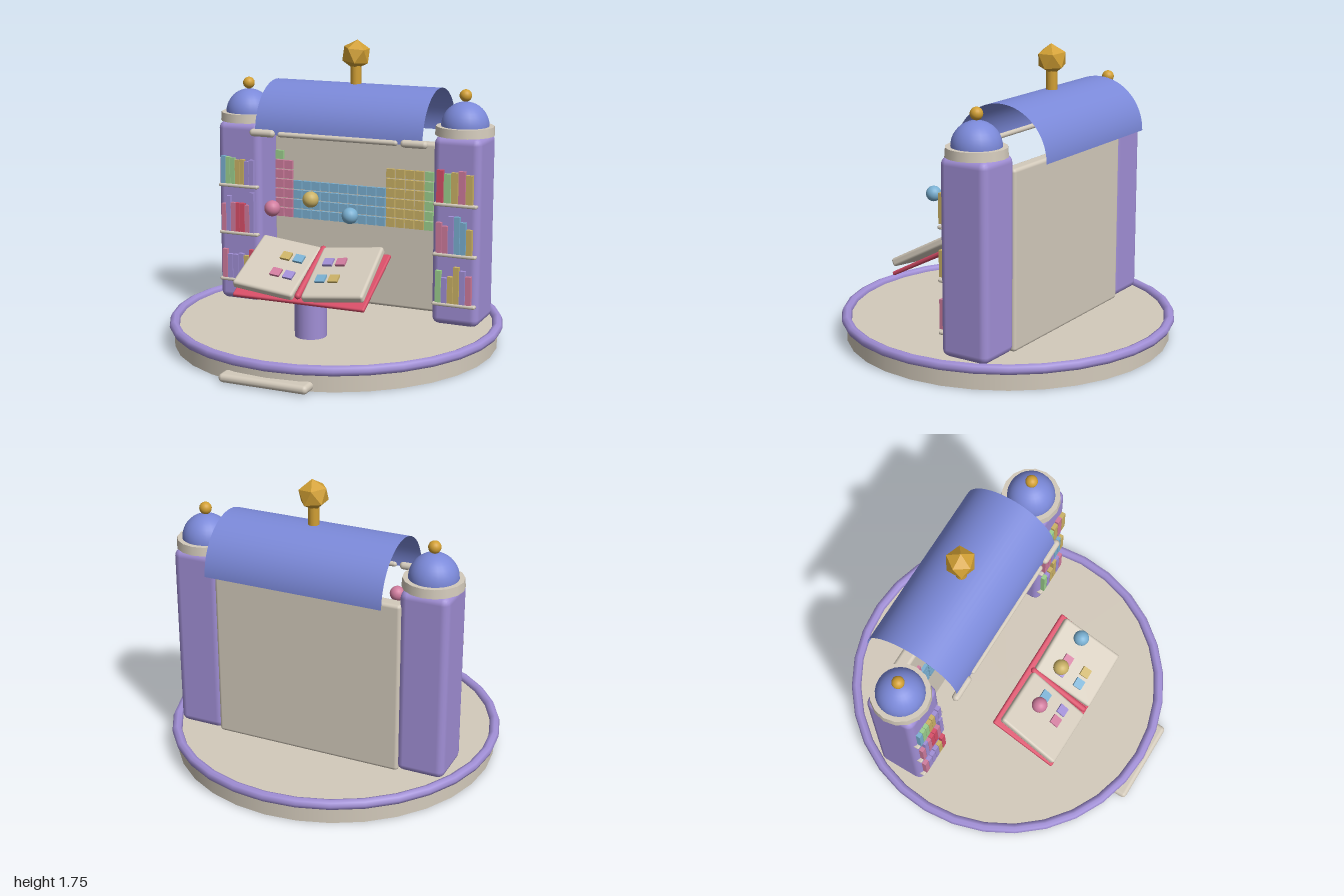
import * as THREE from 'three';
import { RoundedBoxGeometry } from 'three/addons/geometries/RoundedBoxGeometry.js';

const mat = (name, color, extra = {}) => {
  const m = new THREE.MeshStandardMaterial({ color, ...extra });
  m.name = name;
  return m;
};

export function createModel() {
  const root = new THREE.Group();
  root.name = 'libraryStage';
  const M = {
    lavender: mat('lavender', 0xa18fd6),
    roof: mat('roofBlue', 0x7b89d9, { side: THREE.DoubleSide }),
    stone: mat('stone', 0xd3cabb),
    gold: mat('gold', 0xd2a034),
    yellow: mat('yellow', 0xcbb266),
    blue: mat('skyBlue', 0x7ab0d2),
    pink: mat('pink', 0xd07c9e),
    green: mat('green', 0x9dd08e),
    red: mat('red', 0xd84e68),
  };
  const code = { l: M.lavender, y: M.yellow, b: M.blue, p: M.pink, g: M.green, r: M.red };

  const add = (name, geo, material, x = 0, y = 0, z = 0, parent = root) => {
    const m = new THREE.Mesh(geo, material);
    m.name = name;
    m.position.set(x, y, z);
    parent.add(m);
    return m;
  };
  const group = (name, parent = root) => {
    const g = new THREE.Group();
    g.name = name;
    parent.add(g);
    return g;
  };
  const box = (w, h, d) => new THREE.BoxGeometry(w, h, d);
  const rbox = (w, h, d, r) => new RoundedBoxGeometry(w, h, d, 2, r);
  const ball = (r) => new THREE.SphereGeometry(r, 20, 14);
  const rod = (r, length) => new THREE.CapsuleGeometry(r, length - 2 * r, 4, 12).rotateZ(Math.PI / 2);

  // Round base with rim and front step
  add('base', new THREE.CylinderGeometry(0.96, 0.96, 0.12, 32), M.stone, 0, 0.06, -0.01);
  add('baseRim', new THREE.TorusGeometry(0.96, 0.03, 8, 32).rotateX(Math.PI / 2), M.lavender, 0, 0.12, -0.01);
  add('frontStep', rbox(0.53, 0.05, 0.16, 0.024), M.stone, 0, 0.03, 0.92);

  // Back wall
  add('backWall', rbox(1.14, 1.035, 0.085, 0.02), M.stone, 0, 0.637, -0.39);

  // Wall tiles: colour and count of each column
  const tiles = group('wallTiles');
  const columns = 'ppbbbbbbbbbbyyyygl';
  const rows = { p: 6, b: 4, y: 6, g: 6, l: 7 };
  const tileGeo = box(0.053, 0.053, 0.024);
  const tile = (i, j, c) =>
    add('wallTile', tileGeo, code[c], (i - 8.5) * 0.0615, 0.655 + j * 0.0605, -0.34, tiles);
  [...columns].forEach((c, i) => {
    for (let j = 0; j < rows[c]; j++) tile(i, j, c);
  });
  tile(0, 6, 'g');

  // Book rows from bottom to top: colours and heights in hundredths
  const shelves = {
    '-1': [
      ['plllyr', [18, 15, 15, 16, 15, 19]],
      ['plprrpl', [17, 22, 18, 18, 18, 17, 25]],
      ['bggyyll', [17, 16.5, 16, 15, 15.5, 14.5, 15.5]],
    ],
    '1': [
      ['glyylp', [19, 15, 16, 22, 20, 17]],
      ['pplbby', [18, 16, 22, 22, 19, 15]],
      ['rgypy', [19, 17, 18, 19, 17]],
    ],
  };

  // Twin towers with domes, finials and bookshelves
  for (const side of [-1, 1]) {
    const t = group(side < 0 ? 'rightTower' : 'leftTower');
    t.position.set(side * 0.698, 0, -0.273);
    add('towerBody', rbox(0.288, 1.12, 0.305, 0.045), M.lavender, 0, 0.68, 0, t);
    add('towerCollar', new THREE.CylinderGeometry(0.17, 0.174, 0.052, 16), M.stone, 0, 1.261, 0, t);
    add('dome', new THREE.SphereGeometry(0.14, 24, 10, 0, Math.PI * 2, 0, Math.PI / 2), M.roof, 0, 1.287, 0, t);
    add('domeFinial', ball(0.036), M.gold, 0, 1.463, 0, t);
    shelves[side].forEach(([colours, heights], k) => {
      const y = 0.25 + k * 0.298;
      add('shelf', rbox(0.265, 0.022, 0.05, 0.01), M.stone, 0, y, 0.145, t);
      const pitch = 0.222 / colours.length;
      [...colours].forEach((c, i) => {
        const h = heights[i] / 100;
        const x = (i - (colours.length - 1) / 2) * pitch;
        add('shelfBook', box(pitch * 0.9, h, 0.04), code[c], x, y + 0.014 + h / 2, 0.157, t);
      });
    });
  }

  // Barrel roof, open at both ends
  const roofGeo = new THREE.CylinderGeometry(0.295, 0.295, 1.06, 32, 1, true, 0, Math.PI).rotateZ(Math.PI / 2);
  add('barrelRoof', roofGeo, M.roof, 0, 1.197, -0.31);

  // Rail along the front edge of the roof
  add('roofRail', rod(0.016, 0.76), M.stone, 0, 1.203, -0.014);
  for (const s of [-1, 1]) add('railHandle', rod(0.023, 0.165), M.stone, s * 0.481, 1.204, -0.014);

  // Roof finial
  add('finialStem', new THREE.CylinderGeometry(0.032, 0.032, 0.13, 12), M.gold, 0, 1.54, -0.305);
  const gem = new THREE.IcosahedronGeometry(0.09, 0);
  add('finialGem', gem, M.gold, 0, 1.663, -0.305).rotation.z = 0.45;

  // Reading stand
  add('standPost', new THREE.CylinderGeometry(0.093, 0.093, 0.26, 20), M.lavender, 0, 0.25, 0.355);
  const capProfile = [[0, -0.027], [0.1, -0.027], [0.112, -0.016], [0.116, 0], [0.112, 0.016], [0.1, 0.027], [0, 0.027]];
  const capGeo = new THREE.LatheGeometry(capProfile.map(([x, y]) => new THREE.Vector2(x, y)), 24);
  add('standCap', capGeo, M.stone, 0, 0.388, 0.355);

  // Open book, tilted to the front
  const tilt = 0.49;
  const book = group('openBook');
  add('bookCover', rbox(0.81, 0.024, 0.465, 0.01), M.red, 0, 0.468, 0.337, book).rotation.x = tilt;
  const spine = new THREE.CapsuleGeometry(0.019, 0.4, 4, 12).rotateX(Math.PI / 2);
  add('bookSpine', spine, M.red, 0, 0.493, 0.352, book).rotation.x = tilt;
  const pageTiles = { '-1': ['yb', 'pl'], '1': ['lp', 'by'] };
  for (const s of [-1, 1]) {
    const page = group(s < 0 ? 'rightPages' : 'leftPages', book);
    page.position.set(s * 0.204, 0.503, 0.36);
    page.rotation.set(tilt, 0, s * 0.11, 'ZYX');
    add('pageBlock', rbox(0.375, 0.05, 0.425, 0.016), M.stone, 0, 0, 0, page);
    pageTiles[s].forEach((row, j) => [...row].forEach((c, i) => {
      const x = -s * 0.066 + (i - 0.5) * 0.08;
      add('pageTile', box(0.058, 0.016, 0.058), code[c], x, 0.03, j ? 0.07 : -0.07, page);
    }));
  }

  // Floating orbs above the book
  add('pinkOrb', ball(0.046), M.pink, -0.24, 0.843, 0.352);
  add('yellowOrb', ball(0.046), M.yellow, 0, 0.915, 0.352);
  add('blueOrb', ball(0.046), M.blue, 0.24, 0.843, 0.352);

  return root;
}
